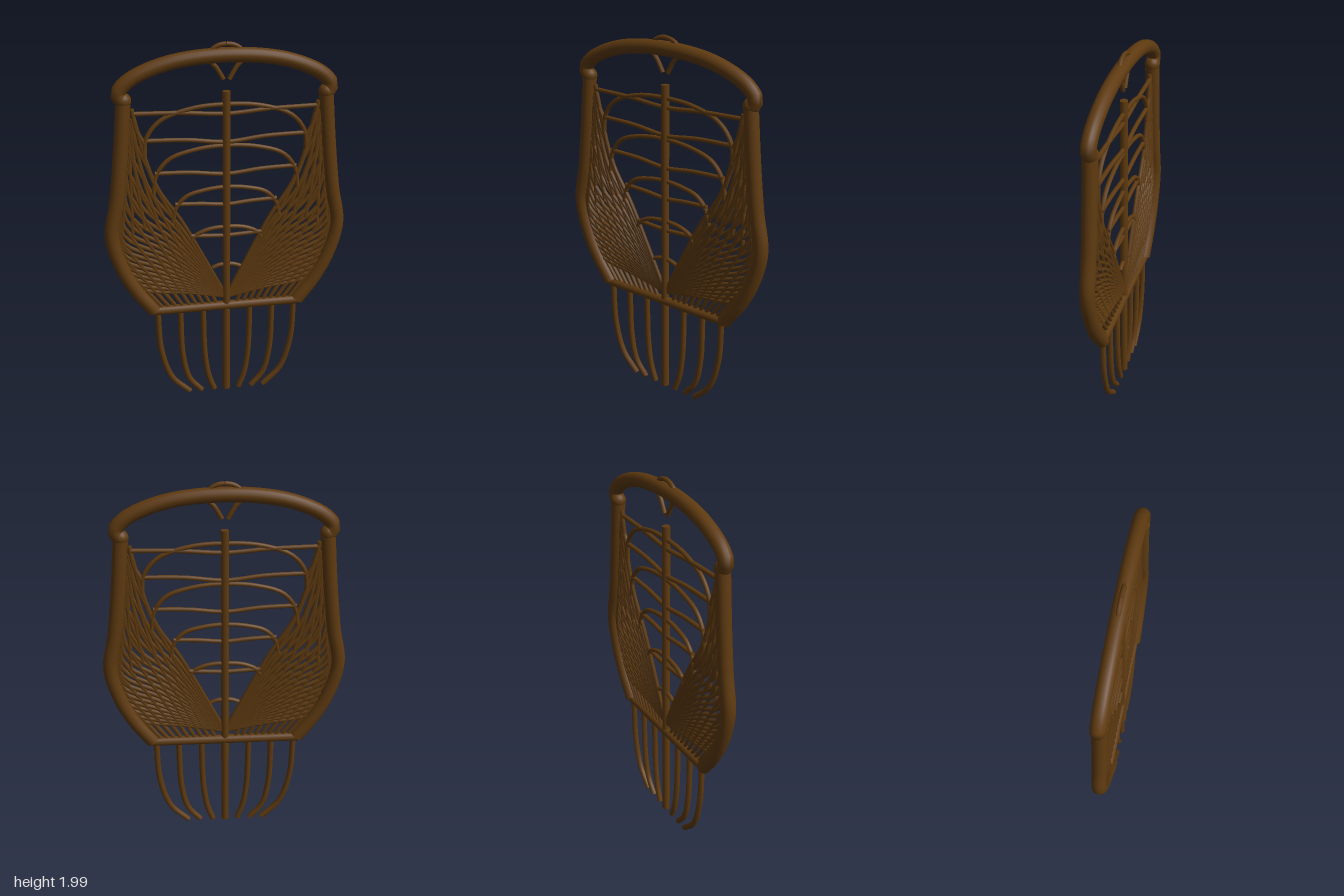
import * as THREE from 'three';

export function createModel() {
  const model = new THREE.Group();
  model.name = 'wickerComb';
  const wood = new THREE.MeshStandardMaterial({ color: 0x5e3a10 });
  wood.name = 'darkWood';

  const group = (name) => {
    const g = new THREE.Group();
    g.name = name;
    model.add(g);
    return g;
  };
  const smooth = (pts) => new THREE.CatmullRomCurve3(
    pts.map(([x, y]) => new THREE.Vector3(x, y, 0)), false, 'centripetal');

  // Round rod through a few points, closed by discs or rounded ends
  function rod(parent, name, pts, r, { round = false, segs = 20, sides = 8 } = {}) {
    const curve = smooth(pts);
    const g = new THREE.Group();
    g.name = name;
    g.add(new THREE.Mesh(new THREE.TubeGeometry(curve, pts.length === 2 ? 1 : segs, r, sides), wood));
    for (const t of [0, 1]) {
      const cap = new THREE.Mesh(
        round ? new THREE.SphereGeometry(r, 16, 10) : new THREE.CircleGeometry(r, sides), wood);
      const p = curve.getPoint(t);
      cap.position.copy(p);
      cap.lookAt(p.clone().add(curve.getTangent(t).multiplyScalar(t ? 1 : -1)));
      g.add(cap);
    }
    for (const m of g.children) m.name = name;
    parent.add(g);
  }
  const mirror = (pts, s) => pts.map(([x, y]) => [x * s, y]);
  // Left-right symmetric path from its left half, ending on the centre line
  const arch = (half) => [...half, ...mirror(half.slice(0, -1), -1).reverse()];
  const lerp = THREE.MathUtils.lerp;

  // Outer frame
  const frame = group('frame');
  const side = [[0.395, 0.55], [0.49, 0.68], [0.56, 0.82], [0.603, 1.0], [0.57, 1.2], [0.54, 1.45], [0.515, 1.72]];
  for (const s of [-1, 1]) {
    rod(frame, 'sideRail', mirror(side, s), 0.038, { segs: 36, sides: 16 });
    const joint = new THREE.Mesh(new THREE.SphereGeometry(0.041, 16, 12), wood);
    joint.name = 'railJoint';
    joint.position.set(0.515 * s, 1.725, 0);
    frame.add(joint);
  }
  rod(frame, 'bottomRail', [[-0.4, 0.547], [0.4, 0.547]], 0.025, { sides: 16 });
  rod(frame, 'topRail', arch([[-0.525, 1.73], [-0.54, 1.76], [-0.49, 1.82], [-0.3, 1.9], [0, 1.932]]),
    0.038, { round: true, segs: 48, sides: 16 });

  // Small looped finial on the top rail
  const finial = group('finial');
  for (const s of [-1, 1]) {
    rod(finial, 'finialLoop', mirror([[0.015, 1.81], [0.05, 1.87], [0.082, 1.91], [0.076, 1.955], [0.04, 1.98], [0, 1.987]], s), 0.012);
  }

  // Centre stem and curved teeth
  const teeth = group('teeth');
  rod(teeth, 'centreStem', [[0, 0.015], [0, 1.75]], 0.021, { sides: 12 });
  const toothPaths = [
    [[0.378, 0.54], [0.365, 0.3], [0.31, 0.12], [0.21, 0.015]],
    [[0.255, 0.54], [0.245, 0.25], [0.21, 0.1], [0.142, 0.015]],
    [[0.13, 0.54], [0.122, 0.25], [0.1, 0.1], [0.07, 0.015]],
  ];
  for (const s of [-1, 1]) for (const p of toothPaths) rod(teeth, 'tooth', mirror(p, s), 0.016);

  // Cross bars dipping to the stem, as [half width, end height, middle height]
  const bars = group('crossBars');
  for (const [x, y, mid] of [[0.47, 1.655, 1.633], [0.41, 1.512, 1.485], [0.37, 1.336, 1.312], [0.27, 1.16, 1.143], [0.19, 0.975, 0.965]])
    rod(bars, 'crossBar', arch([[-x, y], [-x / 2, y - 0.006], [0, mid]]), 0.012);

  // Arches with legs running down the woven edge
  const arches = group('arches');
  const archPaths = [
    [[-0.42, 1.42], [-0.41, 1.52], [-0.34, 1.61], [-0.18, 1.668], [0, 1.682]],
    [[-0.38, 1.22], [-0.365, 1.32], [-0.3, 1.405], [-0.16, 1.452], [0, 1.466]],
    [[-0.285, 1.06], [-0.265, 1.14], [-0.21, 1.2], [-0.12, 1.228], [0, 1.24]],
    [[-0.19, 0.94], [-0.165, 0.975], [-0.1, 1.005], [0, 1.015]],
    [[-0.075, 0.78], [-0.04, 0.793], [0, 0.797]],
  ];
  for (const p of archPaths) rod(arches, 'arch', arch(p), 0.012, { segs: 36 });

  // Woven side panels
  const weave = group('wovenPanels');
  const frameCurve = smooth(side);
  // Lowest and innermost strands of the fan; the rest lie between them
  const low = [[0, 0.6], [0.2, 0.64], [0.4, 0.665], [0.48, 0.69], [0.51, 0.73]];
  const inner = [[0, 0.6], [0.115, 0.83], [0.235, 1.06], [0.37, 1.28], [0.475, 1.67]];
  const strands = 18;
  for (const s of [-1, 1]) {
    for (let i = 0; i < strands; i++) {
      const t = i / (strands - 1);
      const pts = low.map(([x, y], k) => [
        lerp(x, inner[k][0], t) + [0, 0, 0.02, 0.12, 0.07][k] * Math.sin(Math.PI * t),
        lerp(y, inner[k][1], t),
      ]);
      rod(weave, 'fanStrand', mirror(pts, s), 0.011, { sides: 6 });
    }
    // Slanted strands from the bottom rail to the side rail
    for (let i = 0; i < 9; i++) {
      const end = frameCurve.getPointAt(lerp(0.25, 0.9, i / 8));
      rod(weave, 'slantedStrand', mirror([[lerp(0.34, 0.05, i / 8), 0.55], [end.x - 0.02, end.y]], s), 0.011, { sides: 6 });
    }
    // Steep strands along the side rail
    for (let i = 0; i < 5; i++) {
      const t = i / 4;
      rod(weave, 'edgeStrand', mirror([[lerp(0.56, 0.3, t), lerp(0.95, 1.12, t)],
        [lerp(0.53, 0.39, t), lerp(1.2, 1.32, t)], [lerp(0.5, 0.475, t), lerp(1.55, 1.66, t)]], s), 0.011, { sides: 6 });
    }
    rod(weave, 'edgeStub', mirror([[0.475, 1.68], [0.455, 1.57], [0.42, 1.5]], s), 0.012);
  }
  return model;
}
